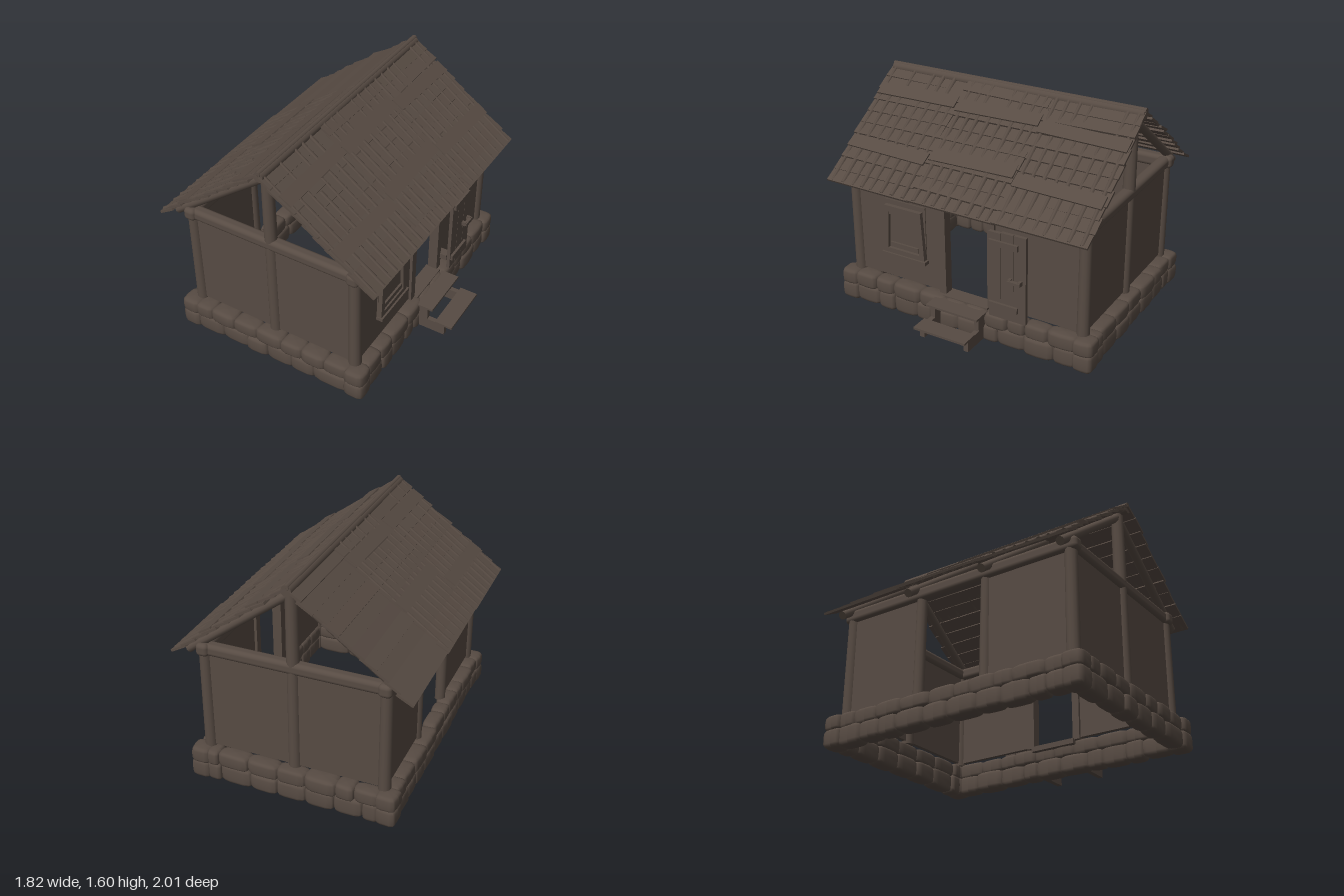
import * as THREE from 'three';
import { RoundedBoxGeometry } from 'three/addons/geometries/RoundedBoxGeometry.js';

export function createModel() {
  const model = new THREE.Group();
  const wood = new THREE.MeshStandardMaterial({ color: 0x574b43 });
  wood.name = 'weathered brown';

  let seed = 7;
  const rnd = (a = 0, b = 1) => {
    seed = (seed * 16807) % 2147483647;
    return a + (b - a) * (seed / 2147483647);
  };
  const add = (name, geo, x, y, z, parent = model) => {
    const m = new THREE.Mesh(geo, wood);
    m.name = name;
    m.position.set(x, y, z);
    parent.add(m);
    return m;
  };
  // box given by its limits on each axis
  const slab = (name, x0, x1, y0, y1, z0, z1, parent = model) =>
    add(name, new THREE.BoxGeometry(x1 - x0, y1 - y0, z1 - z0),
      (x0 + x1) / 2, (y0 + y1) / 2, (z0 + z1) / 2, parent);
  const post = (name, x, z, y0, y1, r) =>
    add(name, new THREE.CylinderGeometry(r, r * 1.06, y1 - y0, 12), x, (y0 + y1) / 2, z);
  const group = (name, parent = model) => {
    const g = new THREE.Group();
    g.name = name;
    parent.add(g);
    return g;
  };

  // Rubble foundation: squarish, uneven boulders in two courses
  const foundation = group('foundation');
  const stone = (x, y, z, w, h, d) => {
    const geo = new THREE.SphereGeometry(1, 14, 10);
    const p = geo.attributes.position;
    const f = rnd(0, 6), sq = (v) => Math.sign(v) * Math.pow(Math.abs(v), 0.5);
    for (let i = 0; i < p.count; i++) {
      const a = p.getX(i), b = p.getY(i), c = p.getZ(i);
      const n = 1 + 0.06 * Math.sin(3 * a + f) * Math.cos(4 * c + f);
      p.setXYZ(i, sq(a) * n * w / 2, sq(b) * h / 2, sq(c) * n * d / 2);
    }
    geo.computeVertexNormals();
    add('foundationStone', geo, x, y, z, foundation);
  };
  const course = (y, h, from, to, place) => {
    let t = from;
    while (t < to - 0.02) {
      let w = rnd(0.11, 0.23);
      if (to - t - w < 0.08) w = to - t;
      const hh = h * rnd(0.92, 1.04);
      place(t + w / 2, y, w * 1.12, hh, rnd(0.115, 0.145));
      t += w;
    }
  };
  const X0 = -0.75, X1 = 0.58, Z = 0.93;
  for (const [y, h] of [[0.072, 0.142], [0.178, 0.116]]) {
    for (const z of [-Z, Z])
      course(y, h, X0 + 0.05, X1 - 0.05, (t, yy, w, hh, d) => stone(t, yy, z, w, hh, d));
    for (const x of [X0, X1])
      course(y, h, -Z + 0.05, Z - 0.05, (t, yy, w, hh, d) => stone(x, yy, t, d, hh, w));
    for (const x of [X0, X1])
      for (const z of [-Z, Z]) stone(x, y, z, 0.15, h, 0.15);
  }

  // Posts and wall plates
  const L = -0.71, R = 0.54, M = -0.085, E = 0.89;
  for (const z of [-E, E]) {
    for (const x of [L, R]) post('cornerPost', x, z, 0.225, 0.96, 0.041);
    post('middlePost', M, z, 0.225, 0.96, 0.041);
    post('kingPost', M, z, 1.0, 1.52, 0.041);
    add('crossBeam', new RoundedBoxGeometry(1.34, 0.085, 0.085, 3, 0.03), M, 0.983, z);
  }
  for (const x of [L, R])
    add('wallPlate', new RoundedBoxGeometry(0.09, 0.092, 1.9, 3, 0.03), x, 0.983, 0);
  for (const z of [0.25, -0.28]) post('sidePost', L, z, 0.225, 0.96, 0.036);

  // Wall panels
  const y0 = 0.245, y1 = 0.95;
  for (const z of [-E, E]) {
    slab('endWall', L, M, y0, y1, z - 0.015, z + 0.015);
    slab('endWall', M, R, y0, y1, z - 0.015, z + 0.015);
  }
  for (const [x, a, b] of [[L, 0.25, E], [L, -E, -0.28], [R, 0.17, E], [R, -E, -0.22]])
    slab('sideWall', x - 0.015, x + 0.015, y0, y1, a, b);

  // Doorway frame and open door lying against the wall
  slab('doorJamb', R - 0.035, R + 0.035, 0.23, 0.95, 0.14, 0.195);
  slab('doorJamb', R - 0.035, R + 0.035, 0.23, 0.95, -0.245, -0.19);
  slab('doorLintel', R - 0.035, R + 0.035, 0.875, 0.95, -0.245, 0.195);
  slab('threshold', R - 0.05, R + 0.06, 0.2, 0.238, -0.2, 0.15);
  const door = group('door');
  [[-0.335, -0.247, 0.862], [-0.43, -0.338, 0.87], [-0.525, -0.433, 0.872]].forEach(([a, b, top]) =>
    slab('doorPlank', 0.625, 0.65, 0.235, top, a, b, door));
  for (const y of [0.31, 0.77]) {
    slab('doorBatten', 0.65, 0.668, y, y + 0.042, -0.47, -0.255, door);
    slab('doorHinge', 0.55, 0.625, y, y + 0.042, -0.3, -0.235, door);
  }
  slab('doorHandle', 0.665, 0.69, 0.535, 0.555, -0.5, -0.405, door);
  for (const z of [-0.415, -0.49]) slab('handleMount', 0.645, 0.68, 0.53, 0.56, z - 0.01, z + 0.01, door);

  // Window with shutter, frame and sill
  const win = group('window');
  slab('windowSurround', 0.55, 0.562, 0.44, 0.845, 0.305, 0.64, win);
  slab('windowShutter', 0.56, 0.57, 0.5, 0.79, 0.34, 0.6, win);
  for (const s of [-1, 1]) {
    const side = slab('windowSide', 0.555, 0.592, 0.45, 0.81, 0.455 + s * 0.14, 0.495 + s * 0.14, win);
    side.rotation.x = -s * 0.06;
  }
  slab('windowHead', 0.555, 0.592, 0.765, 0.81, 0.33, 0.62, win);
  slab('windowFoot', 0.555, 0.592, 0.45, 0.485, 0.33, 0.62, win);
  for (const y of [0.495, 0.745]) slab('shutterBatten', 0.565, 0.585, y, y + 0.035, 0.36, 0.59, win);
  slab('windowSill', 0.55, 0.605, 0.425, 0.45, 0.29, 0.65, win);

  // Entrance steps
  const steps = group('steps');
  const side = new THREE.Shape([[0.6, 0.03], [0.84, 0.03], [0.84, 0.115], [0.705, 0.115], [0.705, 0.212], [0.6, 0.212]]
    .map(([x, y]) => new THREE.Vector2(x, y)));
  const sideGeo = new THREE.ExtrudeGeometry(side, { depth: 0.035, bevelEnabled: false });
  for (const z of [-0.2, 0.15]) add('stringer', sideGeo, 0, 0, z, steps);
  slab('upperTread', 0.61, 0.745, 0.212, 0.227, -0.21, 0.195, steps);
  slab('lowerTread', 0.77, 0.9, 0.115, 0.131, -0.21, 0.195, steps);

  // Roof: lapped boards in three bays per slope, crossed by poles
  const slopeLen = 1.0, pitch = 0.637;
  const roof = group('roof');
  for (const dir of [1, -1]) {
    const turn = group(dir > 0 ? 'leftSlope' : 'rightSlope', roof);
    turn.position.set(-0.09, 1.555, 0);
    turn.rotation.y = dir > 0 ? 0 : Math.PI;
    const slope = group('slope', turn);
    slope.rotation.z = -pitch;
    for (const z of [-E, -0.3, 0.3, E]) {
      const r = add('rafter', new THREE.CylinderGeometry(0.03, 0.03, 0.95, 10), 0.485, -0.04, z, slope);
      r.rotation.z = Math.PI / 2;
    }
    for (let bay = -1; bay <= 1; bay++) {
      const zc = bay * 0.655;
      // the back bay of the right slope is fully boarded, without poles
      const bare = dir < 0 && bay === 1;
      const n = 10, pw = slopeLen / n;
      for (let i = 0; i < n; i++) {
        const b = add('roofBoard', new THREE.BoxGeometry(pw * 1.25, 0.016, 0.665 + rnd(-0.012, 0.012)),
          pw * (i + 0.5), 0.008 + rnd(-0.004, 0.006), zc + rnd(-0.006, 0.006), slope);
        b.rotation.set(rnd(-0.012, 0.012), rnd(-0.012, 0.012), 0.1 + rnd(-0.03, 0.05));
      }
      if (bare) continue;
      for (let k = 0; k < 8; k++) {
        const len = rnd() < 0.3 ? rnd(0.6, 0.85) : 0.985;
        const r = rnd(0.011, 0.016);
        const pole = add('roofPole', new THREE.CylinderGeometry(r, r * 1.1, len, 7),
          1.0 - len / 2, 0.013, zc - 0.29 + k * 0.083 + rnd(-0.01, 0.01), slope);
        pole.rotation.set(0, rnd(-0.01, 0.01), Math.PI / 2);
      }
      // a few loose boards patched over the poles
      for (let k = 0; k < 2; k++) {
        const patch = add('patchBoard', new THREE.BoxGeometry(0.1, 0.012, 0.64),
          rnd(0.08, 0.3) + k * 0.45, 0.026, zc, slope);
        patch.rotation.set(0, rnd(-0.03, 0.03), 0.08);
      }
    }
  }
  const ridge = add('ridgePole', new THREE.CylinderGeometry(0.036, 0.036, 1.95, 12), -0.09, 1.55, 0, roof);
  ridge.rotation.x = Math.PI / 2;
  const cap = add('ridgeCap', new THREE.CylinderGeometry(0.018, 0.02, 1.96, 8), -0.09, 1.575, 0, roof);
  cap.rotation.x = Math.PI / 2;

  return model;
}
